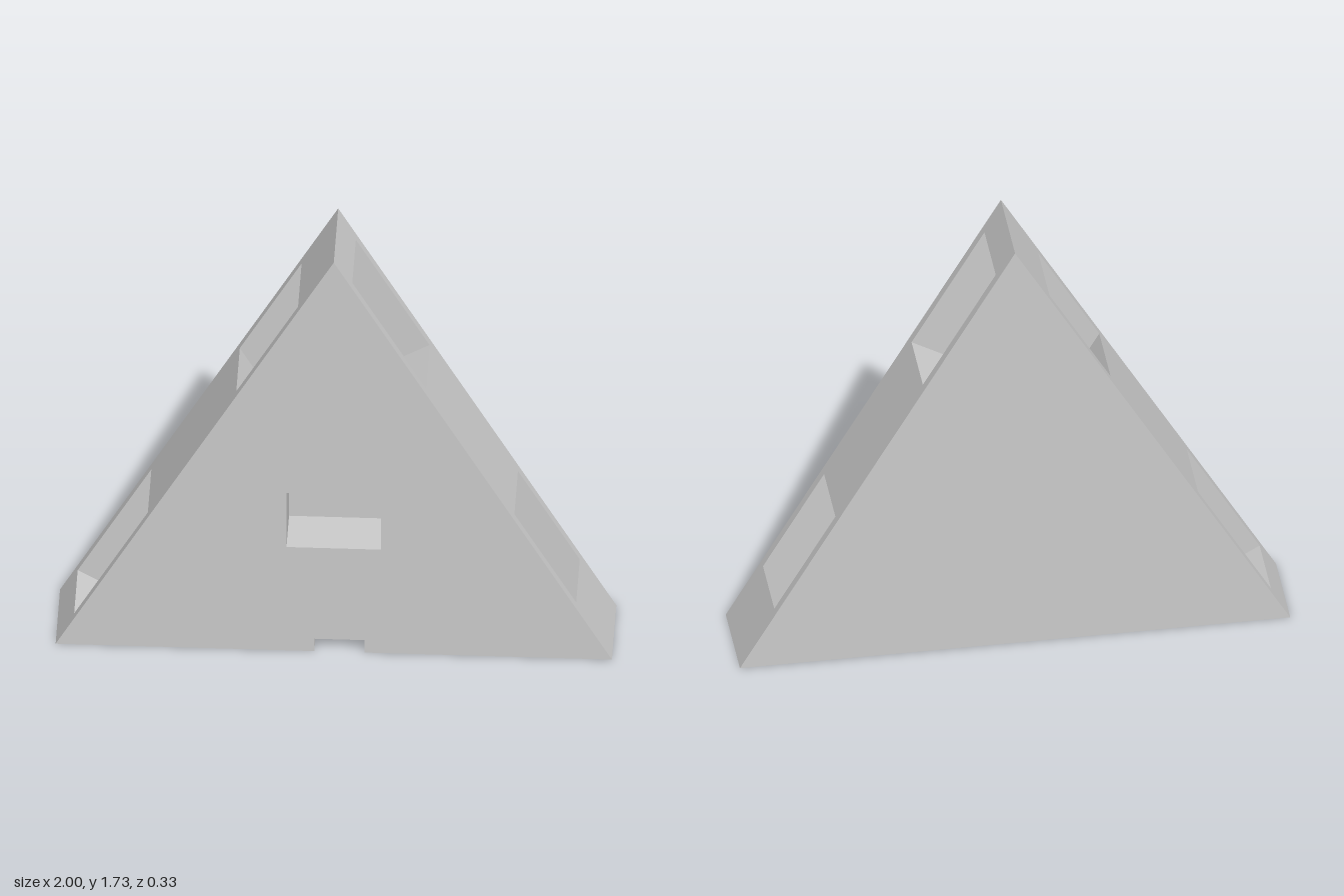
import * as THREE from 'three';

const HALF = 0.165;   // half thickness of the body
const INNER = 0.131;  // half depth of the pockets
const SIDE = 2, H = Math.sqrt(3), CY = H / 3;

const material = new THREE.MeshStandardMaterial({ color: 0xcccccc, flatShading: true });

// Rotates a profile point about the triangle's centre by k thirds of a turn
function turn([x, y], k) {
  const a = (k * Math.PI * 2) / 3, c = Math.cos(a), s = Math.sin(a);
  return [x * c - (y - CY) * s, x * s + (y - CY) * c + CY];
}

// Wall strip along a closed counter-clockwise outline, facing outwards
function wall(group, name, pts, z0, z1) {
  const pos = [];
  pts.forEach(([ax, ay], i) => {
    const [bx, by] = pts[(i + 1) % pts.length];
    pos.push(ax, ay, z0, bx, by, z0, bx, by, z1, ax, ay, z0, bx, by, z1, ax, ay, z1);
  });
  const g = new THREE.BufferGeometry();
  g.setAttribute('position', new THREE.Float32BufferAttribute(pos, 3));
  g.computeVertexNormals();
  add(group, name, g);
}

// Flat face at depth z, facing front (+1) or back (-1)
function cap(group, name, pts, z, facing, hole) {
  const toV = (list) => list.map(([x, y]) => new THREE.Vector2(x * facing, y));
  const shape = new THREE.Shape(toV(pts));
  if (hole) shape.holes.push(new THREE.Path(toV(hole)));
  const g = new THREE.ShapeGeometry(shape);
  if (facing < 0) g.rotateY(Math.PI);
  g.translate(0, 0, z);
  add(group, name, g);
}

function add(group, name, geometry) {
  const mesh = new THREE.Mesh(geometry, material);
  mesh.name = name;
  group.add(mesh);
}

const rect = (x0, y0, x1, y1) => [[x0, y0], [x1, y0], [x1, y1], [x0, y1]];

export function createModel() {
  const root = new THREE.Group();
  root.name = 'triangularBlock';

  // Pocket at the apex, cut square into the right edge and out through the left
  const near = 0.13, far = 0.66, depth = 0.61;
  const onRight = (s) => [s / 2, H - (s * H) / 2];
  const onLeft = (s) => [-s / 2, H - (s * H) / 2];
  const apex = [0, H];
  const P = onRight(near), Q = onRight(far);
  const R = [Q[0] - (depth * H) / 2, Q[1] - depth / 2];
  const S = onLeft(depth / (H / 2)), T = onLeft(near * 2);

  const triangle = [[-SIDE / 2, 0], [SIDE / 2, 0], apex];
  const windowRect = rect(-0.17, 0.46, 0.17, 0.7);
  const windowBack = -0.025;
  const slotTop = 0.055, slot = [-0.1, 0.14], notch = [-0.07, 0.11];
  const cutIn = ([a, b]) => [[a, 0], [a, slotTop], [b, slotTop], [b, 0]];

  // Front and back plates
  const frontOutline = [triangle[0], ...cutIn(notch), triangle[1], apex];
  cap(root, 'frontFace', frontOutline, HALF, 1, windowRect);
  wall(root, 'frontRim', frontOutline, INNER, HALF);
  cap(root, 'backFace', triangle, -HALF, -1);
  wall(root, 'backRim', triangle, -HALF, -INNER);

  // Core between the plates: corner tips, pocket floors and pocket walls
  const core = [];
  for (let k = 0; k < 3; k++) {
    const at = (list) => list.map((p) => turn(p, k));
    wall(root, 'cornerTip', at([P, apex, T]), -INNER, INNER);
    const pocket = at([P, T, S, R, Q]);
    cap(root, 'pocketBack', pocket, -INNER, 1);
    cap(root, 'pocketFront', pocket, INNER, -1);
    core.push(...at([Q, R, S]));
    if (k === 1) core.push(...cutIn(slot));
  }
  wall(root, 'coreWalls', core, -INNER, INNER);

  // Slot in the base behind the front notch
  cap(root, 'slotBack', rect(slot[0], 0, slot[1], slotTop), -INNER, 1);
  cap(root, 'slotFrontA', rect(slot[0], 0, notch[0], slotTop), INNER, -1);
  cap(root, 'slotFrontB', rect(notch[1], 0, slot[1], slotTop), INNER, -1);

  // Blind window in the front
  wall(root, 'windowWalls', [...windowRect].reverse(), windowBack, HALF);
  cap(root, 'windowBack', windowRect, windowBack, 1);

  return root;
}
